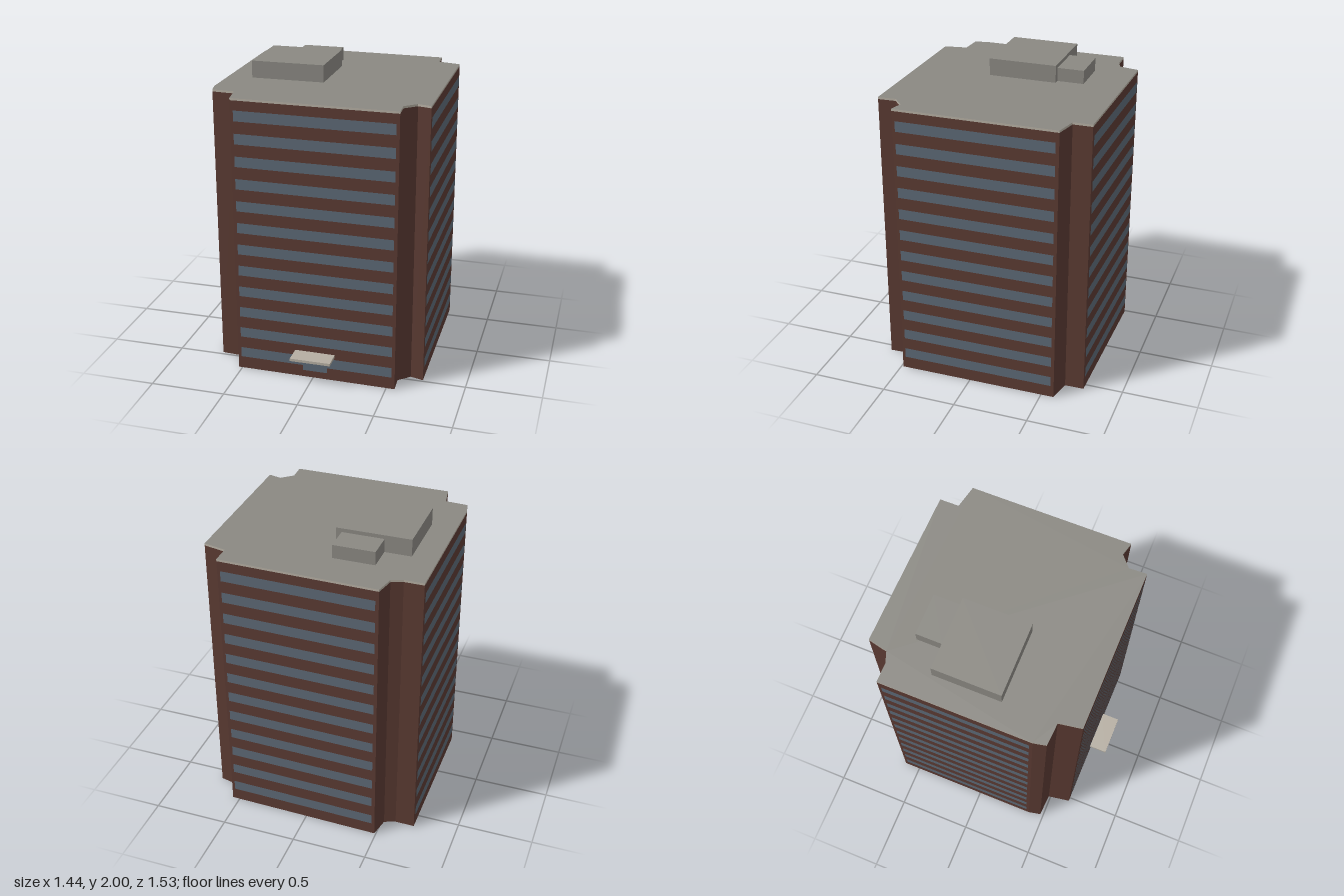
import * as THREE from 'three';
import { mergeGeometries } from 'three/addons/utils/BufferGeometryUtils.js';

const WALL_TOP = 1.872, ROOF_TOP = 1.886;

// Tower outline as [x, z], starting at the back and running towards +x
const OUTLINE = [
  [-0.489, -0.766], [0.55, -0.746], [0.552, -0.62], [0.704, -0.586],
  [0.713, 0.486], [0.626, 0.462], [0.55, 0.53], [0.556, 0.648],
  [-0.525, 0.638], [-0.55, 0.487], [-0.70, 0.477], [-0.718, 0.394],
  [-0.718, -0.61], [-0.59, -0.61], [-0.517, -0.637],
];

function material(name, color) {
  const m = new THREE.MeshStandardMaterial({ color });
  m.name = name;
  return m;
}

// Upright panel along the edge a-b, shortened by inset and pushed outwards
function panel(a, b, y0, y1, inset = 0, offset = 0) {
  const dx = b[0] - a[0], dz = b[1] - a[1], len = Math.hypot(dx, dz);
  const nx = dz / len, nz = -dx / len;
  return new THREE.PlaneGeometry(len - 2 * inset, y1 - y0)
    .rotateY(Math.atan2(nx, nz))
    .translate((a[0] + b[0]) / 2 + nx * offset, (y0 + y1) / 2, (a[1] + b[1]) / 2 + nz * offset);
}

export function createModel() {
  const brick = material('brick', 0x5a3a32);
  brick.side = THREE.DoubleSide;
  const glass = material('glass', 0x5c6875);
  const roofing = material('roofing', 0x8a8882);
  const concrete = material('concrete', 0xb5aea2);

  const group = new THREE.Group();
  group.name = 'towerBlock';
  const add = (name, geometry, mat) => {
    const mesh = new THREE.Mesh(geometry, mat);
    mesh.name = name;
    group.add(mesh);
  };
  const box = (name, x0, x1, y0, y1, z0, z1, mat) =>
    add(name, new THREE.BoxGeometry(x1 - x0, y1 - y0, z1 - z0)
      .translate((x0 + x1) / 2, (y0 + y1) / 2, (z0 + z1) / 2), mat);

  // Brick shell, open underneath, and window bands on the four long walls
  const walls = [], bands = [];
  OUTLINE.forEach((a, i) => {
    const b = OUTLINE[(i + 1) % OUTLINE.length];
    walls.push(panel(a, b, 0, WALL_TOP));
    if (Math.hypot(b[0] - a[0], b[1] - a[1]) < 0.8) return;
    for (let floor = 0; floor < 12; floor++) {
      const y = 0.085 + floor * 0.1503;
      bands.push(panel(a, b, y, y + 0.07, 0.021, 0.003));
    }
  });
  add('walls', mergeGeometries(walls), brick);
  add('windowBands', mergeGeometries(bands), glass);

  // Roof slab with a pale rim
  const shape = new THREE.Shape(OUTLINE.map(([x, z]) => new THREE.Vector2(x, -z)));
  const slab = new THREE.ExtrudeGeometry(shape, { depth: ROOF_TOP - WALL_TOP, bevelEnabled: false })
    .rotateX(-Math.PI / 2).translate(0, WALL_TOP, 0);
  add('roofSlab', slab, [roofing, concrete]);

  // Rooftop plant rooms
  box('plantRoom', -0.554, -0.065, ROOF_TOP, 2, -0.322, 0.132, roofing);
  box('smallPlantRoom', -0.379, -0.103, ROOF_TOP, 1.975, -0.499, -0.322, roofing);

  // Entrance
  add('door', panel([0.098, 0.6438], [-0.067, 0.6422], 0.05, 0.172, 0, 0.006), glass);
  box('canopy', -0.122, 0.15, 0.172, 0.19, 0.638, 0.765, concrete);

  return group;
}
